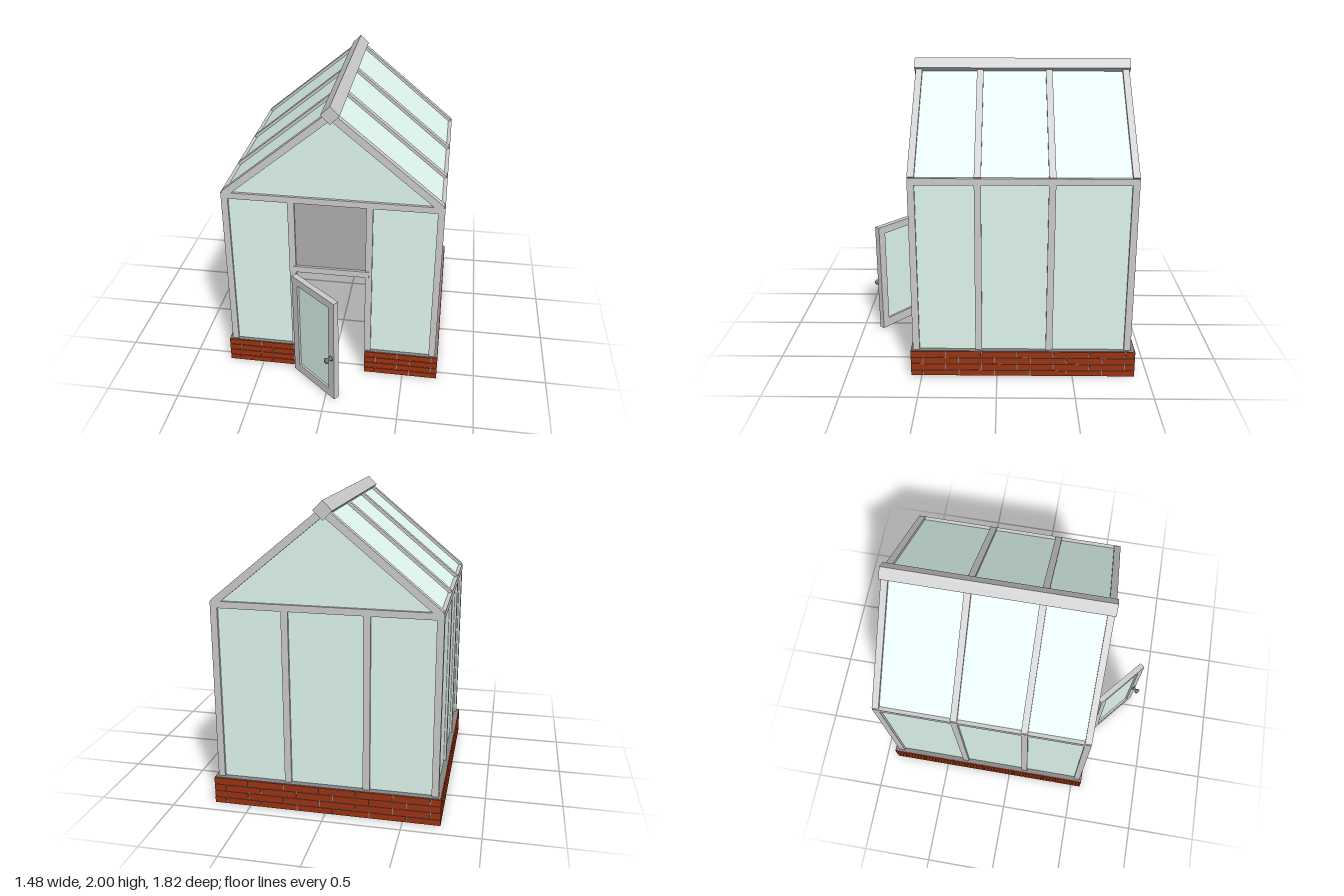
import * as THREE from 'three';

const mat = (color) => new THREE.MeshStandardMaterial({ color });
const FRAME = mat(0xcccccc), GLASS = mat(0xdff7ef), BRICK = mat(0x9c3210);
const MORTAR = mat(0x858585), PANEL = mat(0xaeacac), METAL = mat(0x777777);

export function createModel() {
  const root = new THREE.Group();

  const add = (parent, name, geo, m, x = 0, y = 0, z = 0) => {
    const mesh = new THREE.Mesh(geo, m);
    mesh.name = name;
    mesh.position.set(x, y, z);
    parent.add(mesh);
    return mesh;
  };
  // Box given by its minimum and maximum on each axis
  const span = (parent, name, m, x0, x1, y0, y1, z0, z1) =>
    add(parent, name, new THREE.BoxGeometry(x1 - x0, y1 - y0, z1 - z0), m,
      (x0 + x1) / 2, (y0 + y1) / 2, (z0 + z1) / 2);
  const group = (name, parent = root) => {
    const g = new THREE.Group();
    g.name = name;
    parent.add(g);
    return g;
  };

  // Brick base: a mortar core faced with staggered brick courses
  const base = group('brickBase');
  base.position.z = -0.17;
  const H = 0.74, WALL = 0.185, DOOR = 0.23, core = H - 0.006, inner = H - 0.095;
  for (const s of [-1, 1]) {
    span(base, 'sideWall', MORTAR, s > 0 ? inner : -core, s > 0 ? core : -inner, 0, WALL, -core, core);
    span(base, 'frontWall', MORTAR, s > 0 ? DOOR : -inner, s > 0 ? inner : -DOOR, 0, WALL, inner, core);
  }
  span(base, 'backWall', MORTAR, -inner, inner, 0, WALL, -core, -inner);

  const brickRun = (parent, from, to) => {
    const rows = 4, pitch = WALL / rows, length = 0.237, gap = 0.007;
    for (let r = 0; r < rows; r++) {
      let x = from, next = from + (r % 2 ? 0.23 : 0.08);
      while (x < to - 0.001) {
        const end = Math.min(next, to);
        if (end - x > 0.012) {
          span(parent, 'brick', BRICK, x + (x === from ? 0 : gap / 2), end - (end === to ? 0 : gap / 2),
            r * pitch + gap / 2, (r + 1) * pitch - gap / 2, H - 0.015, H);
        }
        x = end;
        next += length;
      }
    }
  };
  for (let i = 0; i < 4; i++) {
    const side = group('brickFacing', base);
    side.rotation.y = i * Math.PI / 2;
    if (i === 0) {
      brickRun(side, -H, -DOOR);
      brickRun(side, DOOR, H);
    } else brickRun(side, -H, H);
  }

  // Posts and eave beams
  const frame = group('frame');
  const X = 0.72, ZF = 0.555, ZB = -0.88, T = 0.044, EAVE = 1.323, TOP = 1.366;
  const bays = [ZF - T / 2, 0.12, -0.343, ZB + T / 2];
  const doorPosts = [-0.262, 0.248];
  for (const s of [-1, 1]) {
    const x = s * (X - T / 2);
    for (const z of bays) span(frame, 'sidePost', FRAME, x - T / 2, x + T / 2, WALL, EAVE, z - T / 2, z + T / 2);
    span(frame, 'eaveBeam', FRAME, x - T / 2, x + T / 2, EAVE, TOP, ZB, ZF);
  }
  for (const z of [bays[0], bays[3]]) {
    for (const x of doorPosts) span(frame, 'endPost', FRAME, x - T / 2, x + T / 2, WALL, EAVE, z - T / 2, z + T / 2);
    span(frame, 'tieBeam', FRAME, -X + T, X - T, EAVE, TOP, z - T / 2, z + T / 2);
  }
  span(frame, 'doorLintel', FRAME, -0.262, 0.25, 0.8, 0.844, ZF - T, ZF + 0.004);
  span(frame, 'overDoorPanel', PANEL, -0.25, 0.24, 0.84, EAVE + 0.005, ZF - 0.03, ZF - 0.014);

  // Roof: rafters, sloping glass and a diamond ridge beam
  const roof = group('roof');
  const SLOPE = 0.83, APEX = 1.936, angle = Math.atan(SLOPE), reach = 0.7;
  const slopeLength = reach / Math.cos(angle);
  for (const s of [-1, 1]) {
    const half = group('roofSlope', roof);
    half.position.set(s * reach / 2, APEX - SLOPE * reach / 2, 0);
    half.rotation.z = -s * angle;
    for (const z of bays) add(half, 'rafter', new THREE.BoxGeometry(slopeLength, 0.047, T), FRAME, 0, 0, z);
    add(half, 'roofGlass', new THREE.BoxGeometry(slopeLength, 0.01, ZF - ZB - T), GLASS, 0, 0, (ZF + ZB) / 2);
  }
  const ridge = add(roof, 'ridgeBeam', new THREE.BoxGeometry(0.083, 0.083, 1.452), FRAME, 0, 1.941, (ZF + ZB) / 2);
  ridge.rotation.z = Math.PI / 4;

  // Glazing set into the middle of the frame
  const glazing = group('glazing');
  const g = 0.005;
  for (const s of [-1, 1]) {
    const x = s * (X - T / 2);
    for (let i = 0; i < 3; i++) {
      span(glazing, 'sidePane', GLASS, x - g, x + g, WALL, EAVE, bays[i + 1] + T / 2, bays[i] - T / 2);
    }
  }
  const xs = [-X + T, ...doorPosts, X - T];
  for (const z of [bays[0], bays[3]]) {
    for (let i = 0; i < 3; i++) {
      if (i === 1 && z > 0) continue; // doorway
      span(glazing, 'endPane', GLASS, xs[i], xs[i + 1], WALL, EAVE, z - g, z + g);
    }
    const tri = new THREE.Shape([
      new THREE.Vector2(-0.69, 1.355), new THREE.Vector2(0.69, 1.355), new THREE.Vector2(0, 1.93)]);
    add(glazing, 'gablePane', new THREE.ExtrudeGeometry(tri, { depth: 2 * g, bevelEnabled: false }), GLASS, 0, 0, z - g);
  }

  // Door standing ajar
  const door = group('door');
  door.position.set(-0.085, 0, 0.73);
  door.rotation.y = -THREE.MathUtils.degToRad(40);
  const W = 0.2125, D = 0.02, stile = 0.055;
  for (const s of [-1, 1]) {
    span(door, 'doorStile', FRAME, s > 0 ? W - stile : -W, s > 0 ? W : -W + stile, 0.005, 0.8, -D, D);
  }
  span(door, 'doorTopRail', FRAME, -W + stile, W - stile, 0.746, 0.8, -D, D);
  span(door, 'doorBottomRail', FRAME, -W + stile, W - stile, 0.005, 0.07, -D, D);
  span(door, 'doorPane', GLASS, -W + stile, W - stile, 0.07, 0.746, -g, g);
  const knobProfile = [[0, 0], [0.018, 0], [0.018, 0.006], [0.008, 0.01], [0.008, 0.026],
    [0.018, 0.032], [0.021, 0.041], [0.016, 0.05], [0, 0.053]].map(([r, y]) => new THREE.Vector2(r, y));
  const knob = add(door, 'doorKnob', new THREE.LatheGeometry(knobProfile, 20), METAL, 0.185, 0.347, D);
  knob.rotation.x = Math.PI / 2;

  // Hinges between the post and the door
  for (const y of [0.285, 0.497, 0.7]) {
    const hinge = group('hinge');
    hinge.position.set(-0.238, y, 0.578);
    add(hinge, 'postLeaf', new THREE.BoxGeometry(0.006, 0.06, 0.03), METAL, 0, 0, -0.013);
    const leaf = add(hinge, 'doorLeaf', new THREE.BoxGeometry(0.006, 0.06, 0.03), METAL, -0.004, 0, 0.012);
    leaf.rotation.y = -0.7;
    for (let i = -1; i <= 1; i++) {
      add(hinge, 'knuckle', new THREE.CylinderGeometry(0.009, 0.009, 0.021, 12), METAL, 0, i * 0.024, 0);
    }
  }
  return root;
}
